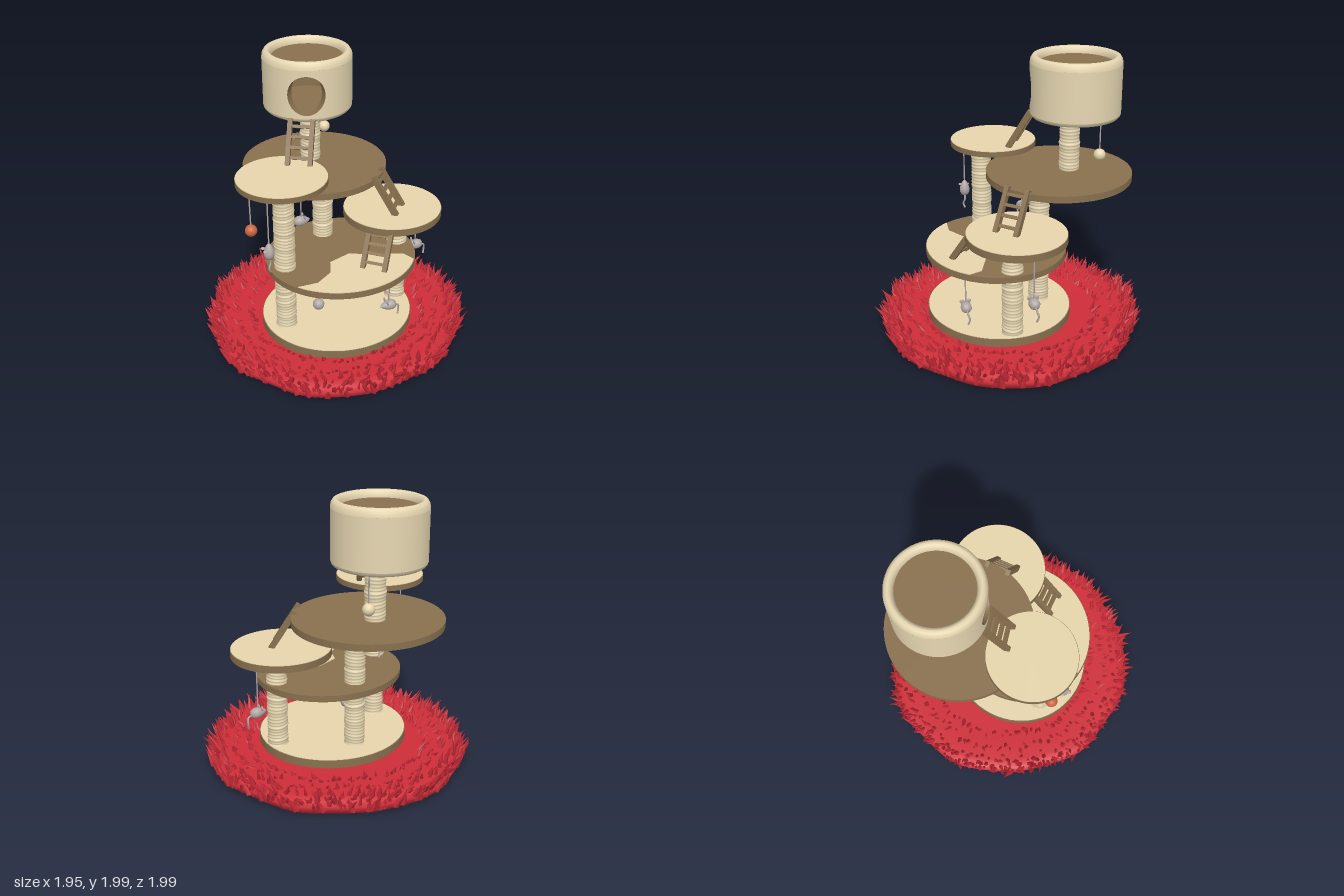
import * as THREE from 'three';
import { mergeGeometries } from 'three/addons/utils/BufferGeometryUtils.js';
import { ParametricGeometry } from 'three/addons/geometries/ParametricGeometry.js';

const paint = (name, color, side = THREE.FrontSide) => {
  const m = new THREE.MeshStandardMaterial({ color, side });
  m.name = name;
  return m;
};
const V = (x, y, z) => new THREE.Vector3(x, y, z);

export function createModel() {
  const cream = paint('cream carpet', 0xf0deb4);
  const plush = paint('cream plush', 0xeadab4, THREE.DoubleSide);
  const rope = paint('sisal rope', 0xe8d8b2);
  const brown = paint('brown wood', 0x89714f, THREE.DoubleSide);
  const red = paint('red rug', 0xcf2e39);
  const grass = paint('red tufts', 0xc52a36, THREE.DoubleSide);
  const sole = paint('rug underside', 0xa85f4c);
  const grey = paint('toy grey', 0xb2a9a5);
  const orange = paint('ball orange', 0xcc6643);

  const root = new THREE.Group();
  const add = (name, geo, mat, parent = root) => {
    const m = new THREE.Mesh(geo, mat);
    m.name = name;
    parent.add(m);
    return m;
  };
  let seed = 7;
  const rnd = () => (seed = (seed * 16807) % 2147483647) / 2147483647;

  // Rug: wavy padded disc with a separate underside
  const wave = a => 1 + 0.012 * Math.sin(3 * a + 1) + 0.01 * Math.sin(7 * a) + 0.008 * Math.sin(11 * a + 2);
  const wavy = geo => {
    const p = geo.attributes.position;
    for (let i = 0; i < p.count; i++) {
      const k = wave(Math.atan2(p.getZ(i), p.getX(i)));
      p.setX(i, p.getX(i) * k);
      p.setZ(i, p.getZ(i) * k);
    }
    geo.computeVertexNormals();
    return geo;
  };
  const rugProfile = [[0.88, 0], [0.915, 0.035], [0.925, 0.07], [0.9, 0.1], [0.84, 0.115], [0.7, 0.105], [0.4, 0.1]];
  add('rug', wavy(new THREE.LatheGeometry(rugProfile.map(p => new THREE.Vector2(...p)), 90)), red);
  add('rugUnderside', wavy(new THREE.CircleGeometry(0.88, 90).rotateX(Math.PI / 2)), sole);

  // Rug tufts: rings of pointed blades leaning outwards
  const blades = [];
  const tuftRing = (count, r0, r1, y, len, lean, width) => {
    for (let i = 0; i < count; i++) {
      const a = (i + rnd()) / count * Math.PI * 2, r = (r0 + (r1 - r0) * rnd()) * wave(a);
      const h = len * (0.65 + 0.5 * rnd());
      const g = new THREE.ConeGeometry(width * (0.7 + 0.6 * rnd()), h, 5, 1, true).translate(0, h / 2, 0);
      g.rotateY(rnd() * 3).rotateX((rnd() - 0.5) * 0.9).rotateZ(-lean * (0.3 + rnd()));
      blades.push(g.rotateY(-a).translate(Math.cos(a) * r, y, Math.sin(a) * r));
    }
  };
  tuftRing(190, 0.88, 0.91, 0.04, 0.13, 0.5, 0.024);
  tuftRing(210, 0.84, 0.89, 0.07, 0.13, 0.7, 0.024);
  tuftRing(130, 0.8, 0.85, 0.08, 0.12, 0.35, 0.022);
  tuftRing(120, 0.7, 0.75, 0.085, 0.085, 0.7, 0.02);
  tuftRing(110, 0.6, 0.64, 0.085, 0.08, 0.7, 0.02);
  add('rugTufts', mergeGeometries(blades), grass);

  // Platforms: brown boards, most with a thin carpet on top
  const platform = (name, x, z, rx, rz, y0, y1, carpet) => {
    const g = new THREE.Group();
    g.name = name;
    g.position.set(x, 0, z);
    g.scale.set(rx, 1, rz);
    root.add(g);
    add(name + 'Board', new THREE.CylinderGeometry(1, 1, y1 - y0, 64).translate(0, (y0 + y1) / 2, 0), brown, g);
    if (carpet) add(name + 'Carpet', new THREE.CylinderGeometry(0.99, 0.99, 0.004, 64).translate(0, y1 + 0.002, 0), cream, g);
  };
  platform('base', -0.02, 0.08, 0.55, 0.52, 0.06, 0.16, true);
  platform('lowPlatform', 0, 0.105, 0.538, 0.5, 0.595, 0.64, false);
  platform('rightMiddlePlatform', 0.425, 0.065, 0.355, 0.343, 0.857, 0.907, true);
  platform('largePlatform', 0, -0.355, 0.52, 0.515, 1.118, 1.165, false);
  platform('leftHighPlatform', -0.4, 0.025, 0.315, 0.31, 1.26, 1.298, true);

  // Carpet covering the front part of the low platform
  const patch = new THREE.Shape();
  patch.absellipse(0, -0.105, 0.533, 0.495, -2.55, -0.62, false);
  [[0.4, -0.3], [0.15, -0.2], [0.05, -0.14], [-0.12, -0.19], [-0.17, -0.31], [-0.3, -0.39]].forEach(p => patch.lineTo(...p));
  add('lowPlatformCarpet', new THREE.ExtrudeGeometry(patch, { depth: 0.005, bevelEnabled: false, curveSegments: 40 })
    .rotateX(-Math.PI / 2).translate(0, 0.64, 0), cream);

  // Rope-wrapped posts with slightly slanted coils
  const post = (name, x, z, y0, y1) => {
    const pts = [], n = Math.round((y1 - y0) / 0.024);
    for (let i = 0; i < n; i++) {
      const r = 0.07 + 0.006 * rnd();
      [[0, -0.006], [0.3, 0], [0.7, 0]].forEach(([t, d]) =>
        pts.push(new THREE.Vector2(r + d, y0 + (i + t) * (y1 - y0) / n)));
    }
    pts.push(new THREE.Vector2(0.066, y1));
    const geo = new THREE.LatheGeometry(pts, 24), p = geo.attributes.position;
    for (let i = 0; i < p.count; i++) {
      const y = p.getY(i), tilt = 0.1 * Math.sin(y * 9 + x * 5);
      if (y > y0 + 0.02 && y < y1 - 0.02) p.setY(i, y + tilt * p.getX(i));
    }
    geo.computeVertexNormals();
    add(name, geo.translate(x, 0, z), rope);
  };
  post('leftPost', -0.427, 0.11, 0.15, 1.265);
  post('rightPost', 0.447, 0.1, 0.15, 0.865);
  post('backPost', 0, -0.215, 0.15, 1.125);
  post('bedPost', 0, -0.43, 1.16, 1.56);

  // Bed: round tub with an oval doorway cut into the curved wall
  const bed = new THREE.Group();
  bed.name = 'bed';
  bed.position.set(0, 0, -0.465);
  root.add(bed);
  const R = 0.317, r = 0.255, Y0 = 1.585, Y1 = 1.93, door = -0.42, half = 0.55;
  const midY = (Y0 + Y1) / 2, halfH = (Y1 - Y0) / 2;
  const onWall = (rad, th, y, t) => t.set(rad * Math.sin(th), y, rad * Math.cos(th));
  const oval = a => [door + 0.42 * Math.cos(a), 1.75 + 0.14 * Math.sin(a)];
  const doorPanel = (rad, dir) => new ParametricGeometry((u, v, t) => {
    const a = dir * u * Math.PI * 2, c = Math.cos(a), s = Math.sin(a), k = 1 / Math.max(Math.abs(c), Math.abs(s));
    const [th, y] = oval(a);
    onWall(rad, th + (door + half * c * k - th) * v, y + (midY + halfH * s * k - y) * v, t);
  }, 64, 8);
  const wall = rad => new THREE.CylinderGeometry(rad, rad, Y1 - Y0, 64, 1, true, door + half, Math.PI * 2 - 2 * half).translate(0, midY, 0);
  add('bedOuterWall', wall(R), plush, bed);
  add('bedDoorPanel', doorPanel(R, -1), plush, bed);
  add('bedInnerWall', wall(r), brown, bed);
  add('bedInnerDoorPanel', doorPanel(r, 1), brown, bed);
  add('bedDoorReveal', new ParametricGeometry((u, v, t) => {
    const [th, y] = oval(u * Math.PI * 2);
    onWall(R + (r - R) * v, th, y, t);
  }, 64, 2), brown, bed);
  const lathe = pts => new THREE.LatheGeometry(pts.map(p => new THREE.Vector2(...p)), 64);
  add('bedBottom', lathe([[0, 1.55], [0.27, 1.55], [0.3, 1.558], [0.312, 1.57], [R, Y0]]), plush, bed);
  add('bedRim', lathe([[R, Y1], [0.313, 1.957], [0.3, 1.978], [0.283, 1.985], [0.267, 1.978], [0.255, 1.957], [0.25, 1.93], [r, 1.9]]), plush, bed);
  const disc = y => new THREE.CylinderGeometry(r, r, 0.015, 48).translate(0, y, 0);
  add('bedFloor', disc(1.6), brown, bed);
  add('bedRoof', disc(1.925), brown, bed);

  // Ladders: two rails and four rungs between a bottom and a top point
  const ladder = (name, bottom, top) => {
    const g = new THREE.Group(), d = top.clone().sub(bottom), len = d.length();
    g.name = name;
    const side = V(-d.z, 0, d.x).normalize(), up = d.normalize();
    g.quaternion.setFromRotationMatrix(new THREE.Matrix4().makeBasis(side, up, side.clone().cross(up)));
    g.position.copy(bottom);
    root.add(g);
    for (const s of [-1, 1]) add('rail', new THREE.BoxGeometry(0.032, len + 0.02, 0.042).translate(s * 0.078, len / 2, 0), brown, g);
    for (let i = 0; i < 4; i++) add('rung', new THREE.BoxGeometry(0.15, 0.022, 0.026).translate(0, len * (0.14 + 0.24 * i), 0), brown, g);
  };
  ladder('bedLadder', V(-0.235, 1.31, -0.075), V(-0.155, 1.57, -0.205));
  ladder('middleLadder', V(0.435, 0.915, 0.14), V(0.32, 1.17, 0.03));
  ladder('lowLadder', V(0.115, 0.65, 0.4), V(0.22, 0.875, 0.29));

  // Hanging toys
  const tube = (name, pts, rad, parent = root) =>
    add(name, new THREE.TubeGeometry(new THREE.CatmullRomCurve3(pts), 12, rad, 6), grey, parent);
  const ball = (name, mat, x, y, z, top) => {
    add(name, new THREE.SphereGeometry(0.042, 20, 14).translate(x, y, z), mat);
    tube(name + 'String', [top, V(x, y + 0.03, z)], 0.005);
  };
  ball('orangeBall', orange, -0.652, 0.975, 0.085, V(-0.655, 1.265, 0.085));
  ball('creamBall', cream, 0.18, 1.315, -0.59, V(0.18, 1.56, -0.59));
  ball('greyBall', grey, -0.195, 0.285, 0.15, V(-0.1, 0.61, -0.08));

  const curledTail = [V(-0.05, -0.01, 0), V(-0.075, -0.02, 0), V(-0.085, -0.06, 0.01), V(-0.075, -0.1, 0)];
  const longTail = [V(-0.05, 0, 0), V(-0.09, -0.008, 0), V(-0.13, 0.008, 0.01), V(-0.16, -0.005, 0)];
  const mouse = (x, y, z, topY, turn, tip, tail) => {
    const g = new THREE.Group();
    g.name = 'toyMouse';
    g.position.set(x, y, z);
    g.rotation.set(0, turn, tip);
    root.add(g);
    const profile = [[0, -0.055], [0.025, -0.05], [0.037, -0.025], [0.037, 0], [0.028, 0.03], [0.014, 0.055], [0, 0.068]];
    add('mouseBody', lathe(profile).rotateZ(-Math.PI / 2), grey, g);
    for (const s of [-1, 1]) add('mouseEar', new THREE.SphereGeometry(0.017, 12, 8).scale(0.4, 1, 1).translate(0.02, 0.033, s * 0.024), grey, g);
    tube('mouseTail', tail, 0.007, g);
    tube('mouseString', [V(x, topY, z), V(x, y + 0.03, z)], 0.005);
  };
  mouse(-0.2, 0.825, -0.14, 1.125, 0, 0, curledTail);
  mouse(0.25, 0.3, 0.385, 0.605, Math.PI, 0, curledTail);
  mouse(0.66, 0.495, 0.01, 0.865, Math.PI, 0, curledTail);
  mouse(-0.575, 0.86, 0.21, 1.265, 0, Math.PI / 2, longTail);

  return root;
}
